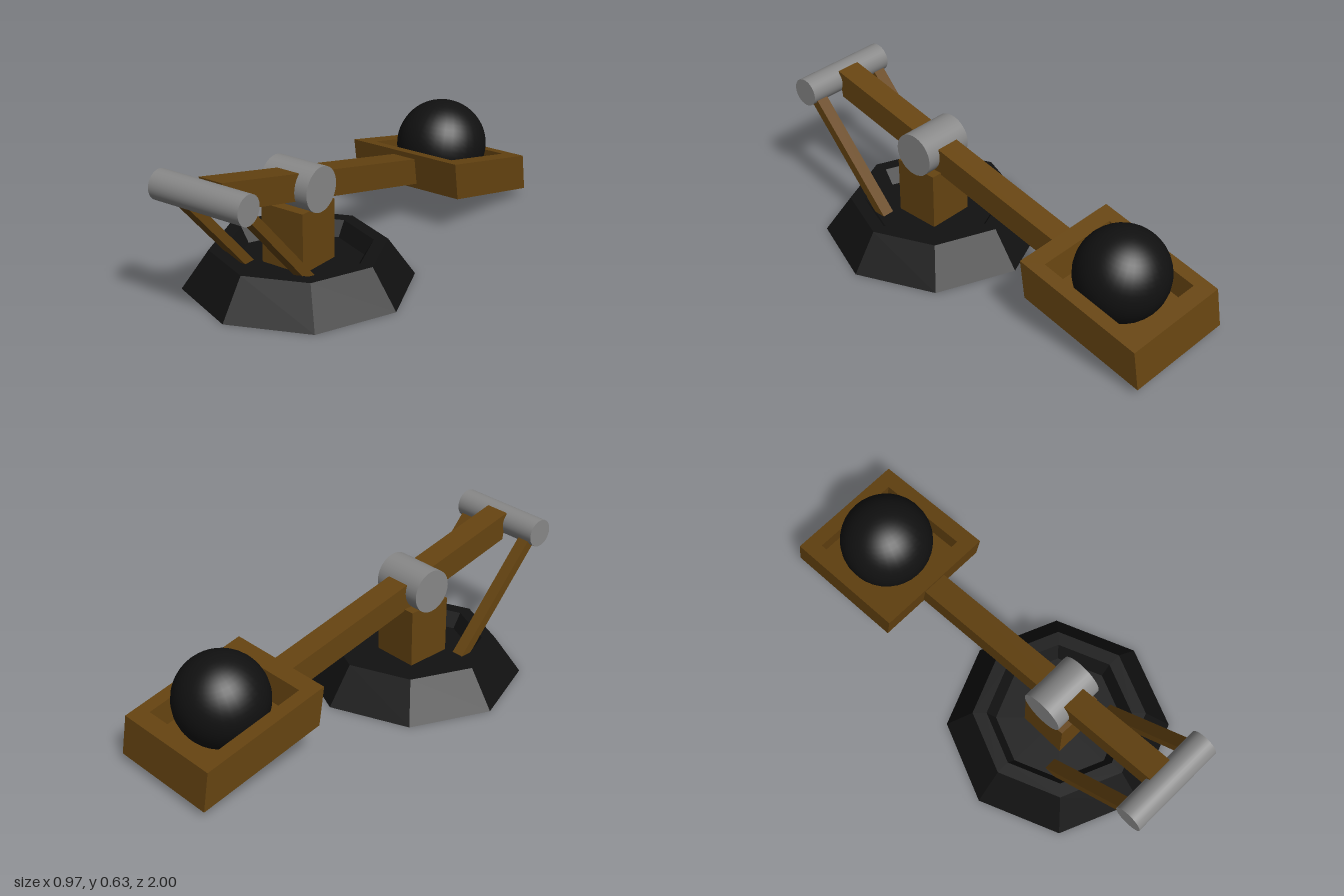
import * as THREE from 'three';

const wood = new THREE.MeshStandardMaterial({ color: 0x664411 });
const iron = new THREE.MeshStandardMaterial({ color: 0x888888 });
const dark = new THREE.MeshStandardMaterial({ color: 0x111111 });
const darkFlat = new THREE.MeshStandardMaterial({ color: 0x111111, flatShading: true });

const AXLE_Y = 0.435, AXLE_Z = 0.37; // pivot of the arm
const BAR_Y = 0.563, BAR_Z = 0.937;  // cross bar at the front end

function part(parent, name, geometry, material, x = 0, y = 0, z = 0) {
  const mesh = new THREE.Mesh(geometry, material);
  mesh.name = name;
  mesh.position.set(x, y, z);
  parent.add(mesh);
  return mesh;
}

// Rod lying along x
function rod(radius, length) {
  return new THREE.CylinderGeometry(radius, radius, length, 32).rotateZ(Math.PI / 2);
}

// Lean of the arm's end faces
function lean(geometry) {
  return geometry.applyMatrix4(new THREE.Matrix4().makeShear(0, 0, 0, 0.41, 0, 0));
}

function rectangle(target, w, h) {
  target.moveTo(-w / 2, -h / 2);
  target.lineTo(w / 2, -h / 2);
  target.lineTo(w / 2, h / 2);
  target.lineTo(-w / 2, h / 2);
  target.closePath();
  return target;
}

export function createModel() {
  const model = new THREE.Group();
  model.name = 'catapult';

  // Octagonal base with a sunken top
  const profile = [[0, 0], [0.485, 0], [0.37, 0.165], [0.31, 0.165], [0.27, 0.1], [0, 0.1]]
    .map(([r, y]) => new THREE.Vector2(r, y));
  part(model, 'base', new THREE.LatheGeometry(profile, 8), darkFlat, 0, 0, AXLE_Z);

  // Post and axle
  part(model, 'post', new THREE.BoxGeometry(0.21, 0.28, 0.21), wood, 0, 0.22, AXLE_Z + 0.003);
  part(model, 'axle', rod(0.097, 0.235), iron, 0, AXLE_Y, AXLE_Z);

  // Front cross bar and its two slanted struts
  part(model, 'crossBar', rod(0.0625, 0.44), iron, 0, BAR_Y, BAR_Z);
  const footY = 0.07, footZ = 0.487;
  const rise = BAR_Y - footY, run = BAR_Z - footZ;
  for (const side of [-1, 1]) {
    const strut = part(model, side > 0 ? 'leftStrut' : 'rightStrut',
      new THREE.BoxGeometry(0.056, Math.hypot(rise, run), 0.041), wood,
      side * 0.172, (BAR_Y + footY) / 2, (BAR_Z + footZ) / 2);
    strut.rotation.x = Math.atan2(run, rise);
  }

  // Throwing arm, tilted about the axle
  const arm = new THREE.Group();
  arm.name = 'arm';
  arm.position.set(0, AXLE_Y, AXLE_Z);
  arm.rotation.x = -0.231;
  model.add(arm);
  part(arm, 'beam', lean(new THREE.BoxGeometry(0.112, 0.115, 1.34)), wood, 0, 0, -0.14);

  // Bucket: a frame around a sunken floor
  const bucket = new THREE.Group();
  bucket.name = 'bucket';
  bucket.position.z = -1.089;
  arm.add(bucket);
  const outline = rectangle(new THREE.Shape(), 0.54, 0.605);
  outline.holes.push(rectangle(new THREE.Path(), 0.405, 0.455));
  const frame = new THREE.ExtrudeGeometry(outline, { depth: 0.16, bevelEnabled: false });
  frame.rotateX(-Math.PI / 2).translate(0, -0.08, 0);
  part(bucket, 'bucketFrame', lean(frame), wood);
  const floor = new THREE.BoxGeometry(0.41, 0.05, 0.46).translate(0, -0.055, 0);
  part(bucket, 'bucketFloor', lean(floor), wood);

  // Round shot, its underside sunk in the bucket floor
  part(arm, 'shot', new THREE.SphereGeometry(0.203, 32, 20, 0, Math.PI * 2, 0, 2.45),
    dark, 0, 0.1, -1.065);

  return model;
}
